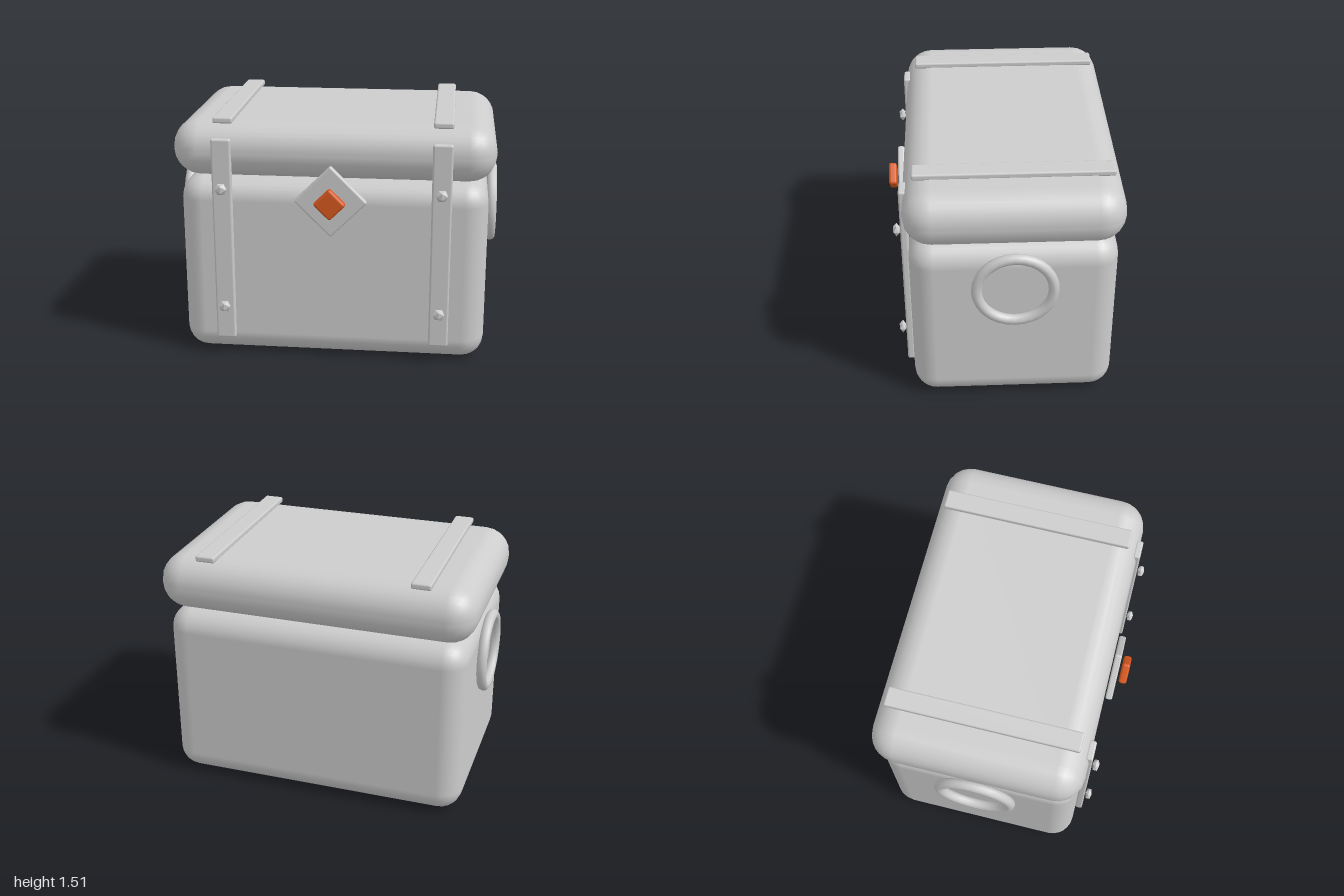
import * as THREE from 'three';
import { RoundedBoxGeometry } from 'three/addons/geometries/RoundedBoxGeometry.js';

export function createModel() {
  const chest = new THREE.Group();
  chest.name = 'chest';

  const grey = new THREE.MeshStandardMaterial({ color: 0xcccccc });
  grey.name = 'pale grey';
  const orange = new THREE.MeshStandardMaterial({ color: 0xd9591f });
  orange.name = 'orange';
  const studGrey = grey;

  const add = (name, geometry, material, x, y, z) => {
    const mesh = new THREE.Mesh(geometry, material);
    mesh.name = name;
    mesh.position.set(x, y, z);
    chest.add(mesh);
    return mesh;
  };
  const box = (w, h, d, r, segments = 2) => new RoundedBoxGeometry(w, h, d, segments, r);

  // Soft-cornered trunk and overhanging lid
  add('body', box(1.88, 1.14, 1.225, 0.14, 3), grey, 0, 0.57, -0.053);
  add('lid', box(1.96, 0.345, 1.28, 0.165, 3), grey, 0, 1.3125, -0.055);

  // Straps, studs and ring handles, mirrored left and right
  const studGeometry = new THREE.IcosahedronGeometry(0.04, 0);
  for (const side of [-1, 1]) {
    const label = side > 0 ? 'left' : 'right';
    add(label + 'FrontStrap', box(0.12, 1.28, 0.045, 0.013), grey, side * 0.66, 0.76, 0.582);
    add(label + 'LidStrap', box(0.12, 0.038, 1.165, 0.012), grey, side * 0.66, 1.496, -0.057);
    for (const y of [0.343, 1.098]) {
      add(label + 'Stud', studGeometry, studGrey, side * 0.66, y, 0.628).scale.z = 0.6;
    }
    const ring = add(label + 'RingHandle', new THREE.TorusGeometry(0.226, 0.032, 10, 28),
      grey, side * 0.968, 0.87, -0.055);
    ring.rotation.y = Math.PI / 2;
  }

  // Diamond lock plate with a coloured clasp in front
  add('lockPlate', box(0.312, 0.312, 0.043, 0.012), grey, 0, 1.04, 0.612).rotation.z = Math.PI / 4;
  add('clasp', box(0.14, 0.14, 0.05, 0.016), orange, 0, 1.04, 0.672).rotation.z = Math.PI / 4;

  return chest;
}
